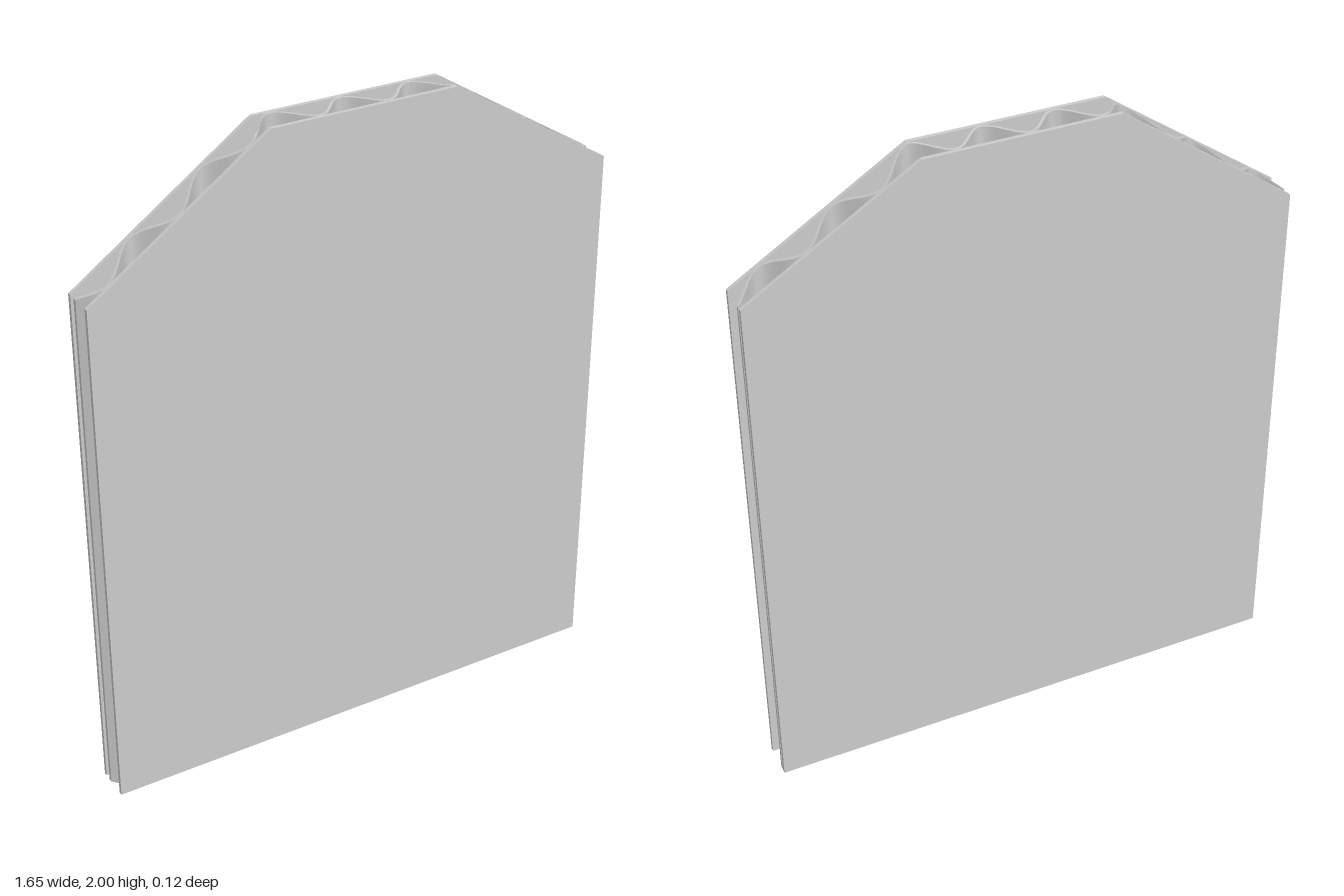
import * as THREE from 'three';
import { toCreasedNormals } from 'three/addons/utils/BufferGeometryUtils.js';

const LEFT = -0.825, RIGHT = 0.822;
const HALF = 0.0575;     // half of the board's total depth
const LINER = 0.0125;    // thickness of each flat sheet
const FLUTE = 0.008;     // thickness of the wavy sheet
const AMP = HALF - LINER - FLUTE / 2;
const PERIOD = 0.213;

// Height of the cut outline at x: two sloping shoulders and a flat top
function topAt(x) {
  if (x < -0.275) return 2 - (0.385 * (-0.275 - x)) / (-0.275 - LEFT);
  if (x > 0.305) return 2 - (0.318 * (x - 0.305)) / (RIGHT - 0.305);
  return 2;
}

// Flat outer sheet
function liner(name, z, material) {
  const shape = new THREE.Shape([
    [LEFT, 0], [RIGHT, 0], [RIGHT, topAt(RIGHT)],
    [0.305, 2], [-0.275, 2], [LEFT, topAt(LEFT)],
  ].map(([x, y]) => new THREE.Vector2(x, y)));
  const geometry = new THREE.ExtrudeGeometry(shape, { depth: LINER, bevelEnabled: false });
  geometry.translate(0, 0, z);
  const mesh = new THREE.Mesh(geometry, material);
  mesh.name = name;
  return mesh;
}

// Wavy core: a sine ribbon raised vertically and trimmed to the outline
function corrugatedCore(material) {
  const front = [], back = [];
  const steps = 192, k = (2 * Math.PI) / PERIOD;
  for (let i = 0; i <= steps; i++) {
    const x = THREE.MathUtils.lerp(LEFT, RIGHT, i / steps);
    const y = AMP * Math.cos(k * (x + 0.01));
    const slope = -AMP * k * Math.sin(k * (x + 0.01));
    // the ends are cut square, the rest is offset along the normal
    const n = new THREE.Vector2(-slope, 1).normalize();
    const end = i === 0 || i === steps;
    const dx = end ? 0 : (n.x * FLUTE) / 2;
    const dy = end ? FLUTE / 2 / n.y : (n.y * FLUTE) / 2;
    front.push(new THREE.Vector2(x - dx, y - dy));
    back.unshift(new THREE.Vector2(x + dx, y + dy));
  }
  let geometry = new THREE.ExtrudeGeometry(new THREE.Shape([...front, ...back]), {
    depth: 1, bevelEnabled: false,
  });
  geometry.rotateX(-Math.PI / 2);
  const p = geometry.attributes.position;
  for (let i = 0; i < p.count; i++) {
    p.setY(i, p.getY(i) > 0.5 ? topAt(p.getX(i)) : 0);
  }
  geometry = toCreasedNormals(geometry, Math.PI / 5);
  const mesh = new THREE.Mesh(geometry, material);
  mesh.name = 'corrugatedCore';
  return mesh;
}

// Thin web that closes most of the flutes at the foot
function footWeb(material) {
  const shape = new THREE.Shape([
    [LEFT, -0.03], [-0.68, -0.03], [-0.645, -0.045], [0.65, -0.045], [RIGHT, -0.034],
    [RIGHT, -0.025], [0.69, 0], [0.53, 0.04], [0.42, 0.022], [0.31, 0.043],
    [0.1, 0.04], [-0.33, 0.045], [-0.755, 0.045], [LEFT, -0.015],
  ].map(([x, z]) => new THREE.Vector2(x, -z)));
  const geometry = new THREE.ShapeGeometry(shape);
  geometry.rotateX(-Math.PI / 2);
  const mesh = new THREE.Mesh(geometry, material);
  mesh.name = 'footWeb';
  return mesh;
}

export function createModel() {
  const group = new THREE.Group();
  group.name = 'corrugatedBoard';
  const material = new THREE.MeshStandardMaterial({ color: 0xcccccc });
  const thin = new THREE.MeshStandardMaterial({ color: 0xcccccc, side: THREE.DoubleSide });
  group.add(
    liner('frontLiner', HALF - LINER, material),
    liner('backLiner', -HALF, material),
    corrugatedCore(material),
    footWeb(thin),
  );
  return group;
}
